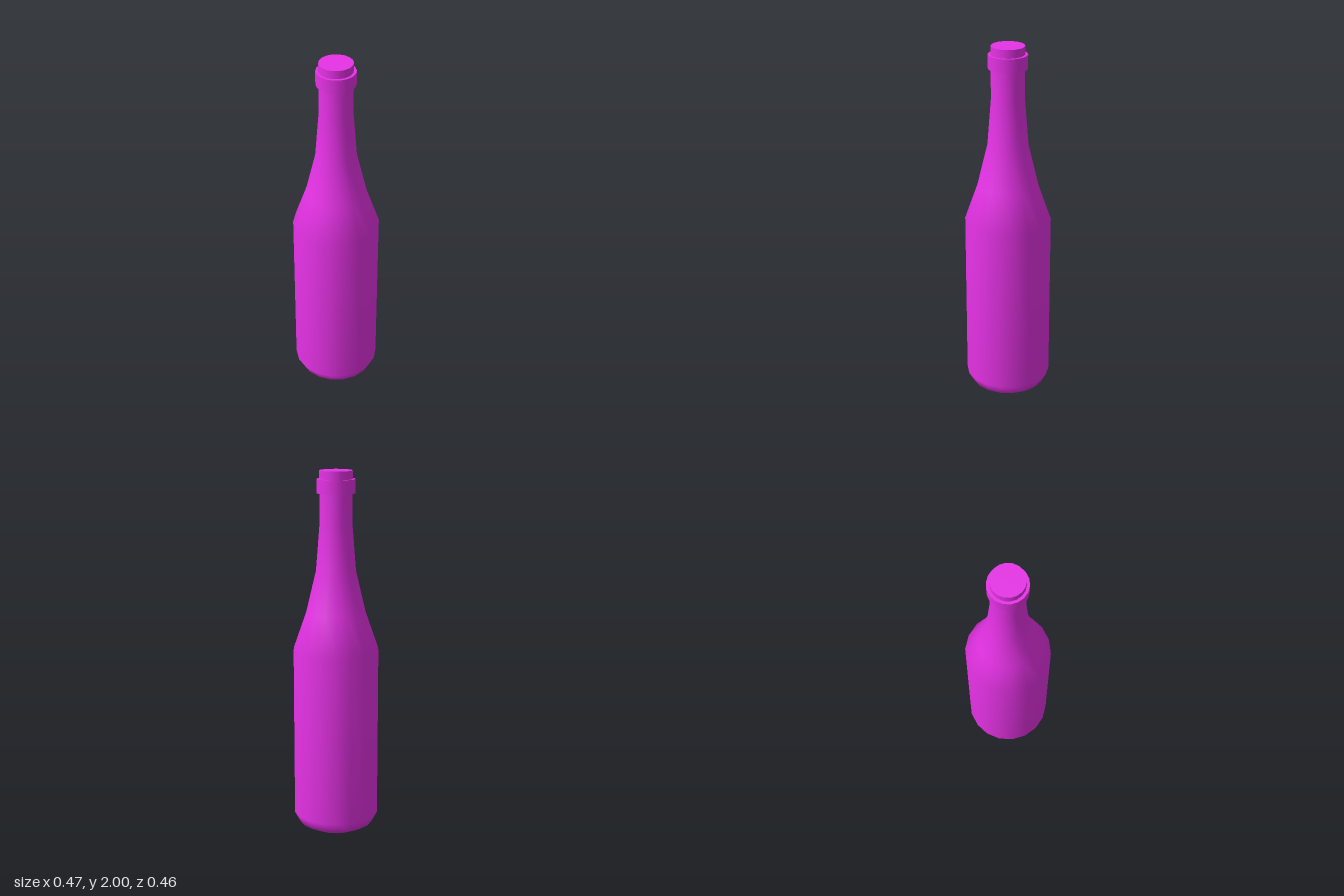
import * as THREE from 'three';

const SIDES = 18;
const glass = new THREE.MeshStandardMaterial({ color: 0xe632e6 });

// One smooth band turned around the y axis; separate bands keep hard edges between them
function turned(name, profile) {
  const points = profile.map(([r, y]) => new THREE.Vector2(r, y));
  const mesh = new THREE.Mesh(new THREE.LatheGeometry(points, SIDES, Math.PI / 2), glass);
  mesh.name = name;
  return mesh;
}

export function createModel() {
  const bottle = new THREE.Group();
  bottle.name = 'bottle';

  // Hollow under the base
  bottle.add(turned('punt', [[0, 0.12], [0.05, 0.11], [0.1, 0.075], [0.14, 0]]));

  // Rounded heel, straight body, sloping shoulder and neck
  bottle.add(turned('body', [
    [0.14, 0], [0.205, 0.033], [0.235, 0.09], [0.235, 1.03],
    [0.165, 1.23], [0.11, 1.46], [0.09, 1.71], [0.09, 2],
  ]));

  // Flat closed mouth
  bottle.add(turned('mouth', [[0.09, 2], [0, 2]]));

  // Collar around the neck: underside, wall and top
  const collar = new THREE.Group();
  collar.name = 'collar';
  const corners = [[0.088, 1.88], [0.105, 1.88], [0.105, 1.955], [0.088, 1.955]];
  ['collarUnderside', 'collarWall', 'collarTop'].forEach((name, i) => {
    collar.add(turned(name, [corners[i], corners[i + 1]]));
  });
  bottle.add(collar);

  return bottle;
}
